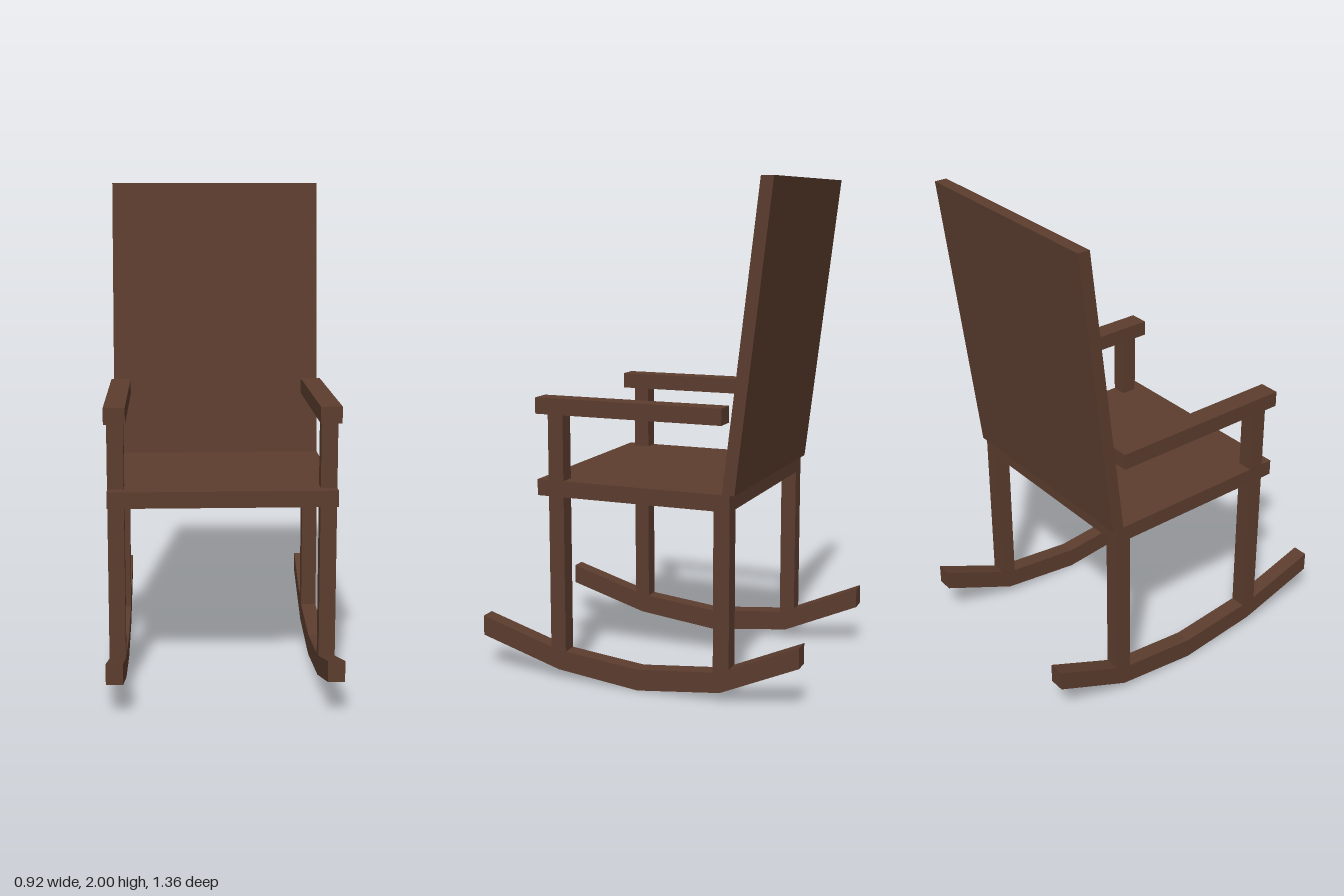
import * as THREE from 'three';

export function createModel() {
  const chair = new THREE.Group();
  chair.name = 'rockingChair';
  const wood = new THREE.MeshStandardMaterial({ color: 0x5c3d2e });
  wood.name = 'dark brown wood';

  // Extrude a side profile of [z, y] points to the given width, centred on x
  function addProfile(name, points, width, x = 0) {
    const shape = new THREE.Shape(points.map(([z, y]) => new THREE.Vector2(z, y)));
    const geometry = new THREE.ExtrudeGeometry(shape, { depth: width, bevelEnabled: false });
    geometry.translate(0, 0, -width / 2).rotateY(-Math.PI / 2);
    const mesh = new THREE.Mesh(geometry, wood);
    mesh.name = name;
    mesh.position.x = x;
    chair.add(mesh);
  }

  // Box given by its limits in y and z
  function addBox(name, width, x, y0, y1, z0, z1) {
    const mesh = new THREE.Mesh(new THREE.BoxGeometry(width, y1 - y0, z1 - z0), wood);
    mesh.name = name;
    mesh.position.set(x, (y0 + y1) / 2, (z0 + z1) / 2);
    chair.add(mesh);
  }

  // Seat and leaning backrest panel
  addBox('seat', 0.9, 0, 0.755, 0.82, -0.397, 0.417);
  addProfile('backrest', [[-0.365, 0.82], [-0.415, 0.82], [-0.557, 2], [-0.507, 2]], 0.9);

  // Rocker: the lower edge, repeated one thickness higher
  const curve = [[0.68, 0.142], [0.335, 0.04], [-0.013, 0.004], [-0.36, 0.04], [-0.677, 0.18]];
  const rockerProfile = [...curve, ...curve.map(([z, y]) => [z, y === 0.004 ? 0.086 : y + 0.082]).reverse()];
  rockerProfile[2] = [-0.013, 0];

  for (const [side, s] of [['left', 1], ['right', -1]]) {
    const x = s * 0.4175;
    addProfile(side + 'Rocker', rockerProfile, 0.065, x);
    addBox(side + 'BackLeg', 0.065, x, 0.1, 0.755, -0.397, -0.332);
    addBox(side + 'FrontLeg', 0.065, x, 0.1, 0.755, 0.302, 0.367);
    addBox(side + 'ArmPost', 0.065, x, 0.82, 1.085, 0.302, 0.367);
    addBox(side + 'Armrest', 0.084, x, 1.085, 1.15, -0.365, 0.417);
  }
  return chair;
}
